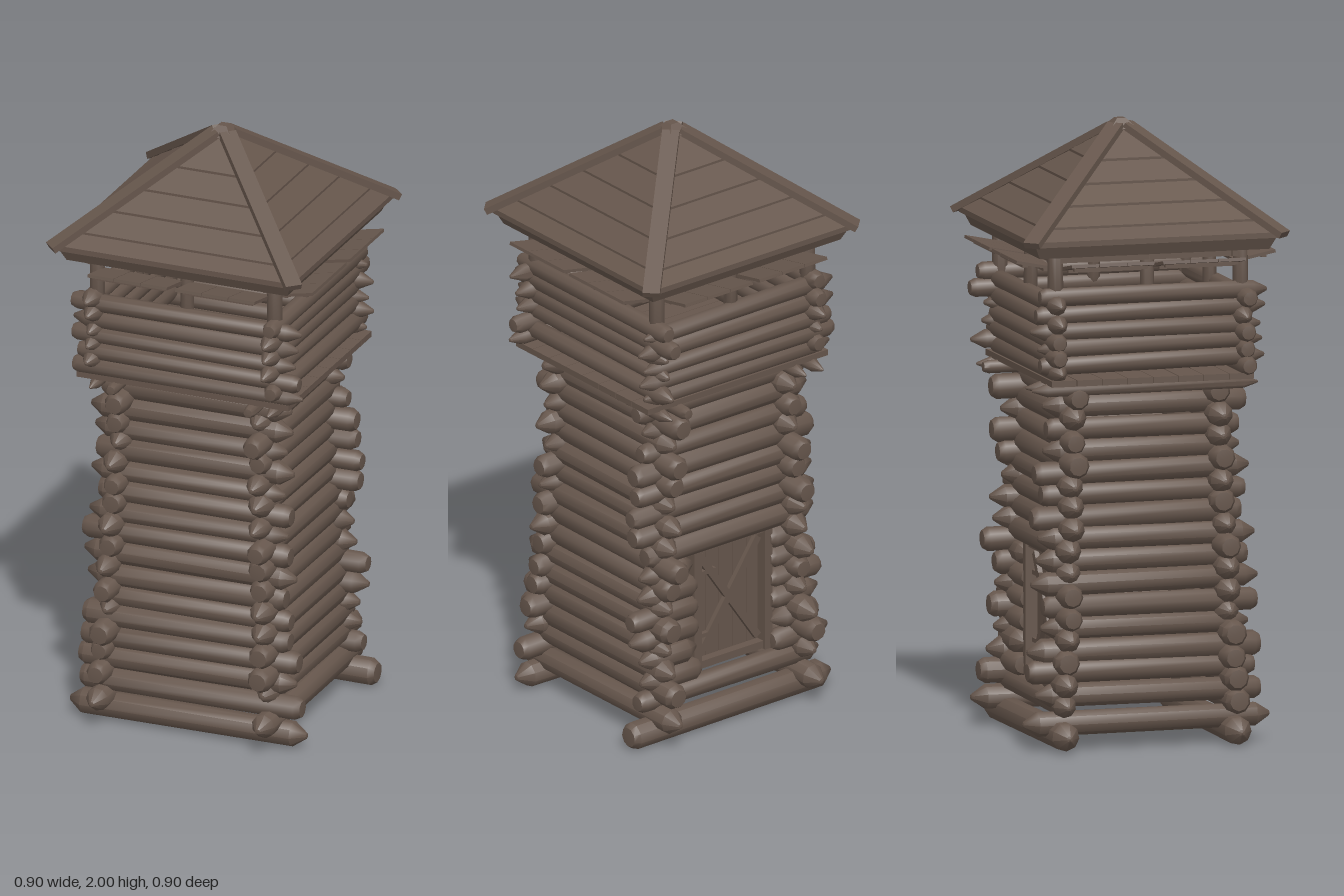
import * as THREE from 'three';
import { toCreasedNormals } from 'three/addons/utils/BufferGeometryUtils.js';

const V = (x, y, z) => new THREE.Vector3(x, y, z);

export function createModel() {
  const root = new THREE.Group();
  root.name = 'logWatchtower';
  const wood = new THREE.MeshStandardMaterial({ color: 0x66564c, side: THREE.DoubleSide });
  wood.name = 'weatheredWood';

  let seed = 7;
  const rand = (lo, hi) => {
    seed = (seed * 16807) % 2147483647;
    return lo + (hi - lo) * seed / 2147483647;
  };

  const group = (name, parent = root) => {
    const g = new THREE.Group();
    g.name = name;
    parent.add(g);
    return g;
  };
  const add = (parent, name, geo) => {
    const m = new THREE.Mesh(geo, wood);
    m.name = name;
    parent.add(m);
    return m;
  };

  // Log with axe-cut ends: blunt, or tapered to a point
  function log(parent, name, a, b, r) {
    const len = a.distanceTo(b);
    const cut = () => (rand(0, 1) < 0.5 ? [0.72, 0.022] : [0.22, 0.05]);
    const [k0, d0] = cut(), [k1, d1] = cut();
    const r2 = r * rand(0.88, 1);
    const pts = [[0, 0], [r * k0, 0.003], [r, d0], [r2, len - d1], [r2 * k1, len - 0.003], [0, len]];
    const geo = new THREE.LatheGeometry(pts.map(p => new THREE.Vector2(...p)), 9, rand(0, 1));
    const m = add(parent, name, toCreasedNormals(geo, 0.85));
    m.position.copy(a);
    m.quaternion.setFromUnitVectors(V(0, 1, 0), b.clone().sub(a).normalize());
  }

  // Straight board between two points
  function board(parent, name, a, b, width, thick) {
    const m = new THREE.Mesh(new THREE.BoxGeometry(width, thick, a.distanceTo(b)), wood);
    m.name = name;
    m.position.copy(a).lerp(b, 0.5);
    m.lookAt(b);
    parent.add(m);
  }

  // Six-sided solid from four outer and four inner corners
  function solid(parent, name, o, i) {
    const quads = [[o[0], o[1], o[2], o[3]], [i[3], i[2], i[1], i[0]]];
    for (let k = 0; k < 4; k++) quads.push([o[k], i[k], i[(k + 1) % 4], o[(k + 1) % 4]]);
    const pts = quads.flatMap(([a, b, c, d]) => [a, b, c, a, c, d]);
    const geo = new THREE.BufferGeometry().setFromPoints(pts);
    geo.computeVertexNormals();
    return add(parent, name, geo);
  }

  // Crossed log walls, leaning inward, with a doorway at the back
  const shaft = group('towerWalls');
  const rows = 16, pitch = 0.0715;
  const spread = y => 0.293 - 0.056 * (y / 1.17);
  for (let n = 0; n < rows; n++) {
    for (const s of [1, -1]) {
      const base = n === 0;
      const yF = base ? 0.05 : 0.072 + n * pitch;
      const yS = base ? 0.09 : 0.108 + n * pitch;
      const r = base ? 0.046 : rand(0.037, 0.043);
      const reach = y => (base ? 0.415 : spread(y) + rand(0.065, 0.125));
      const j = () => rand(-0.005, 0.005);
      const z = s * spread(yF) + j(), x = s * spread(yS) + j();
      const left = -reach(yF), right = reach(yF);
      if (s < 0 && yF > 0.19 && yF < 0.62) {
        log(shaft, 'doorwayLog', V(left, yF, z), V(-0.175, yF, z), r);
        log(shaft, 'doorwayLog', V(0.125, yF, z), V(right, yF, z), r);
      } else {
        log(shaft, s > 0 ? 'frontLog' : 'backLog', V(left, yF + j(), z), V(right, yF + j(), z), r);
      }
      if (yS < 1.17) {
        log(shaft, 'sideLog', V(x, yS + j(), -reach(yS)), V(x, yS + j(), reach(yS)), base ? 0.041 : r);
      }
    }
  }

  // Plank door with frame and cross brace
  const door = group('door');
  const dz = -0.255;
  for (let k = 0; k < 5; k++) {
    add(door, 'doorPlank', new THREE.BoxGeometry(0.054, 0.42, 0.02))
      .position.set(-0.137 + k * 0.056, 0.405, dz + 0.02);
  }
  for (const x of [-0.17, 0.12]) board(door, 'doorPost', V(x, 0.19, dz - 0.005), V(x, 0.63, dz - 0.005), 0.03, 0.05);
  for (const y of [0.205, 0.615]) board(door, 'doorRail', V(-0.17, y, dz), V(0.12, y, dz), 0.04, 0.026);
  board(door, 'crossBrace', V(-0.145, 0.235, dz), V(0.095, 0.585, dz), 0.016, 0.026);
  board(door, 'crossBrace', V(0.095, 0.235, dz), V(-0.145, 0.585, dz), 0.016, 0.026);
  for (const y of [0.3, 0.52]) board(door, 'hinge', V(0.03, y, dz), V(0.12, y, dz), 0.016, 0.014);

  // Platform floor on joists
  const deck = group('platform');
  for (let k = 0; k < 8; k++) {
    add(deck, 'floorPlank', new THREE.BoxGeometry(0.74, 0.02, 0.083))
      .position.set(0, 1.2, -0.298 + k * 0.085);
  }
  for (const x of [-0.31, -0.24, 0.24, 0.31]) log(deck, 'joist', V(x, 1.172, -0.39), V(x, 1.172, 0.37), 0.022);

  // Log parapet around the platform
  const parapet = group('parapet');
  const half = 0.315;
  for (let n = 0; n < 5; n++) {
    for (const s of [1, -1]) {
      const y = 1.228 + n * 0.055, e = () => rand(0.365, 0.415), j = () => rand(-0.006, 0.006);
      const f = s * half + j(), g = s * half + j();
      log(parapet, 'parapetLog', V(-e(), y + j(), f), V(e(), y + j(), f), 0.031);
      log(parapet, 'parapetLog', V(g, y + 0.028 + j(), -e()), V(g, y + 0.028 + j(), e()), 0.031);
    }
  }

  // Four matching sides of the lookout and roof
  const roofY = d => 1.985 - d * 0.785;
  const courses = [0.415, 0.365, 0.29, 0.215, 0.135, 0.02];
  for (let q = 0; q < 4; q++) {
    const side = group('lookoutSide');
    side.rotation.y = q * Math.PI / 2;
    log(side, 'cornerPost', V(0.31, 1.42, 0.31), V(0.31, 1.68, 0.31), 0.026);
    log(side, 'middlePost', V(0, 1.42, 0.3), V(0, 1.66, 0.3), 0.023);
    board(side, 'topBeam', V(-0.33, 1.605, 0.3), V(0.33, 1.605, 0.3), 0.045, 0.04);

    // Raised shutters
    for (const s of [-1, 1]) {
      for (let k = 0; k < 3; k++) {
        const x = s * (0.06 + k * 0.093);
        board(side, 'shutterPlank', V(x, 1.563, 0.3), V(x, 1.59, 0.434), 0.091, 0.01);
      }
      for (const z of [0.33, 0.4]) {
        const y = 1.563 + (z - 0.3) * 0.2 - 0.009;
        board(side, 'shutterBatten', V(s * 0.03, y, z), V(s * 0.275, y, z), 0.018, 0.01);
      }
    }

    // Overlapping roof planks, each lifted at its lower edge
    const roof = group('roofSlope', side);
    for (let k = 0; k < 5; k++) {
      const d0 = courses[k], d1 = courses[k + 1] - 0.008;
      const yA = roofY(d0) + 0.01, yB = roofY(d1) + 0.001, t = 0.018;
      solid(roof, 'roofPlank',
        [V(-d0, yA, d0), V(d0, yA, d0), V(d1, yB, d1), V(-d1, yB, d1)],
        [V(-d0, yA - t, d0), V(d0, yA - t, d0), V(d1, yB - t, d1), V(-d1, yB - t, d1)]);
    }
    // Eave board leaning in under the lowest course
    const [a, b, t] = [0.41, 0.385, 0.015];
    solid(roof, 'eaveBoard',
      [V(-b, 1.612, b), V(b, 1.612, b), V(a, 1.665, a), V(-a, 1.665, a)],
      [V(t - b, 1.612, b - t), V(b - t, 1.612, b - t), V(a - t, 1.665, a - t), V(t - a, 1.665, a - t)]);
    board(roof, 'hipBoard', V(0.424, 1.662, 0.424), V(0.02, 1.978, 0.02), 0.056, 0.022);
    board(roof, 'rafter', V(0, 1.655, 0.38), V(0, 1.935, 0.02), 0.03, 0.03);
  }

  // Square cap at the peak
  const cap = add(root, 'roofCap', new THREE.CylinderGeometry(0.021, 0.064, 0.032, 4).toNonIndexed());
  cap.geometry.computeVertexNormals();
  cap.rotation.y = Math.PI / 4;
  cap.position.y = 1.984;

  return root;
}
